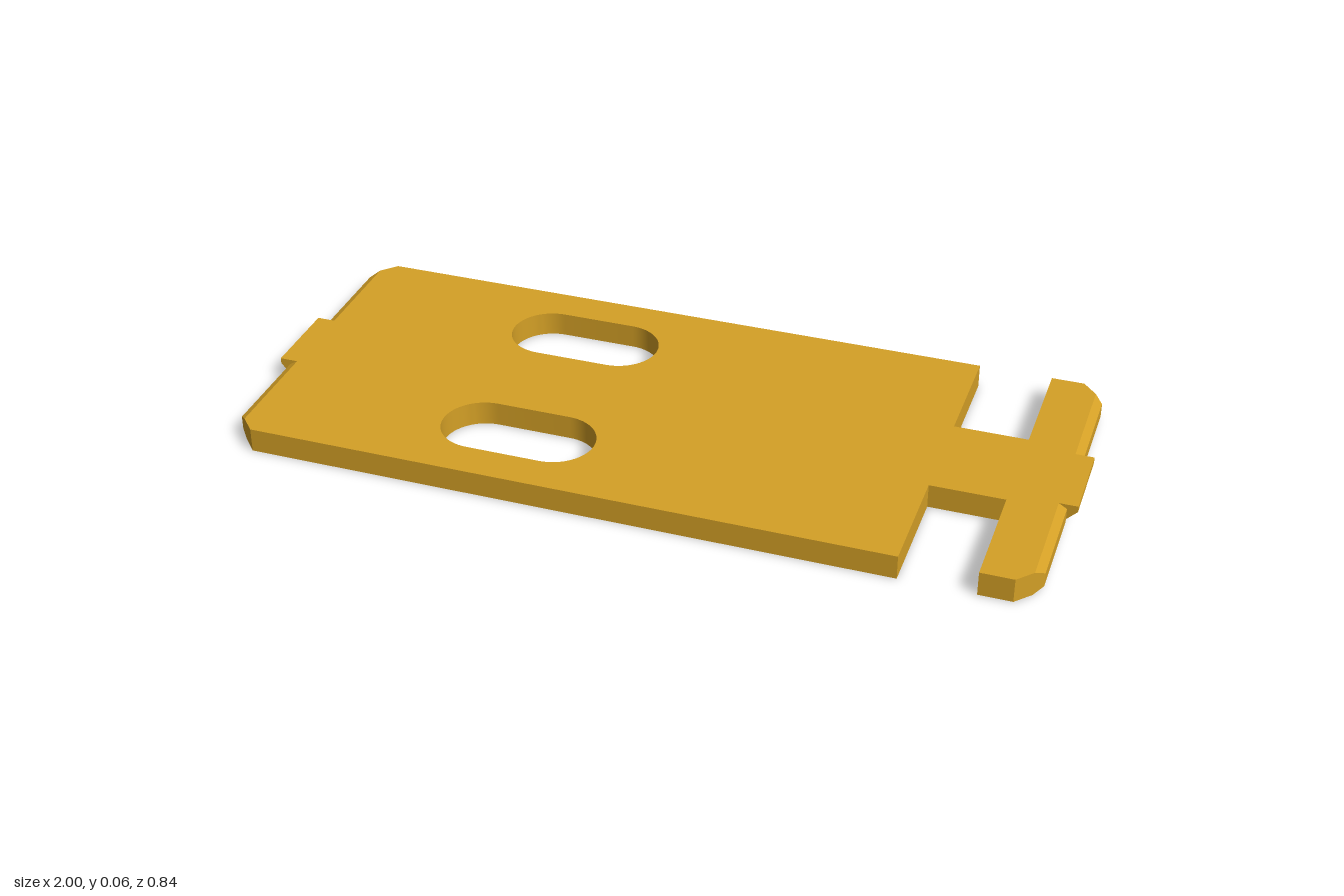
import * as THREE from 'three';
import { toCreasedNormals } from 'three/addons/utils/BufferGeometryUtils.js';

const LEVELS = [0, 0.013, 0.02, 0.045, 0.048, 0.06]; // heights of the edge profile
const END = 0.975, INSET = 0.02, CORNER_Z = 0.36, TAB_Z = 0.105;

// Flat outline: chamfered corners, end tabs and a neck between two notches
function plateOutline() {
  const half = [ // +z side, from the right tab to the left tab
    [1, TAB_Z], [END, TAB_Z], [END, CORNER_Z], [0.92, 0.42], [0.84, 0.42],
    [0.84, 0.13], [0.66, 0.13], [0.66, 0.42], [-0.92, 0.42],
    [-END, CORNER_Z], [-END, TAB_Z], [-1, TAB_Z],
  ];
  const mirrored = half.map(([x, z]) => [x, -z]).reverse();
  const shape = new THREE.Shape([...half, ...mirrored].map(([x, z]) => new THREE.Vector2(x, z)));
  for (const z of [-0.225, 0.225]) shape.holes.push(slot(-0.505, -0.122, z, 0.099));
  return shape;
}

// Round-ended slot
function slot(x0, x1, z, r) {
  const path = new THREE.Path();
  path.absarc(x1 - r, z, r, -Math.PI / 2, Math.PI / 2, false);
  path.absarc(x0 + r, z, r, Math.PI / 2, Math.PI * 1.5, false);
  path.closePath();
  return path;
}

export function createModel() {
  const steps = LEVELS.length - 1;
  const geometry = new THREE.ExtrudeGeometry(plateOutline(), {
    depth: steps, steps, bevelEnabled: false, curveSegments: 16,
  });

  // Set each layer's height, chamfer the end edges and undercut the tabs
  const p = geometry.attributes.position;
  for (let i = 0; i < p.count; i++) {
    const level = Math.round(p.getZ(i)), h = LEVELS[level];
    let x = p.getX(i), z = p.getY(i);
    const side = Math.sign(x);
    if (Math.abs(x) > 0.99) {
      x = side * Math.min(1, END - INSET + h);
    } else if (Math.abs(x) > 0.97 && (level === 0 || level === steps)) {
      x -= side * INSET;
      if (Math.abs(z) > 0.3) z += Math.sign(z) * INSET * 0.06 / 0.055;
    }
    p.setXYZ(i, x, z, h);
  }
  geometry.rotateX(-Math.PI / 2);

  const plate = new THREE.Mesh(
    toCreasedNormals(geometry, 0.4),
    new THREE.MeshStandardMaterial({ color: 0xd4a026 }),
  );
  plate.name = 'slottedPlate';

  const group = new THREE.Group();
  group.name = 'mountingPlate';
  group.add(plate);
  return group;
}
